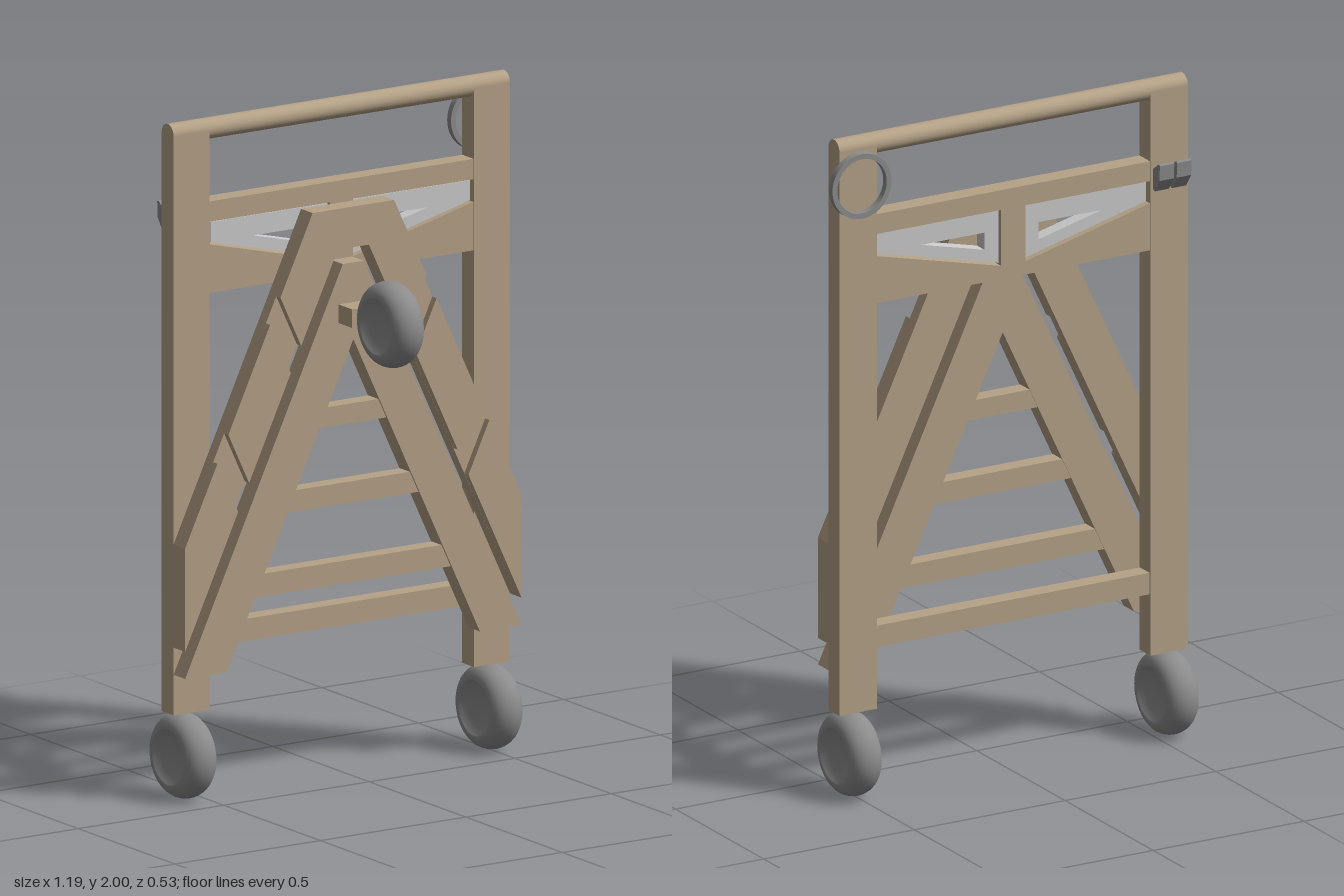
import * as THREE from 'three';

const wood = new THREE.MeshStandardMaterial({ color: 0xb5a287 });
const plain = new THREE.MeshStandardMaterial({ color: 0xcccccc });
const metal = new THREE.MeshStandardMaterial({ color: 0x8c8c8c });

const HALF = 0.578;                 // half width of the frame
const BACK = -0.172, MID = -0.11, FRONT = -0.05;
const SLOPE = 0.471;                // sideways run of the slanted legs

export function createModel() {
  const model = new THREE.Group();
  model.name = 'wheeledFrame';
  model.position.x = -0.0215;
  const root = new THREE.Group();
  root.add(model);

  const add = (name, geometry, material = wood) => {
    const mesh = new THREE.Mesh(geometry, material);
    mesh.name = name;
    model.add(mesh);
    return mesh;
  };
  const box = (name, x0, x1, y0, y1, z0, z1) =>
    add(name, new THREE.BoxGeometry(x1 - x0, y1 - y0, z1 - z0))
      .position.set((x0 + x1) / 2, (y0 + y1) / 2, (z0 + z1) / 2);
  const vecs = (pts, s = 1) => pts.map(([x, y]) => new THREE.Vector2(s * x, y));
  const plate = (name, pts, holes, z0, z1, material = wood) => {
    const shape = new THREE.Shape(vecs(pts));
    holes.forEach(h => shape.holes.push(new THREE.Path(vecs(h))));
    const g = new THREE.ExtrudeGeometry(shape, { depth: z1 - z0, bevelEnabled: false });
    g.translate(0, 0, z0);
    return add(name, g, material);
  };
  const flip = (pts, s) => pts.map(([x, y]) => [s * x, y]);
  const bothSides = pts => [...pts, ...flip(pts, -1).reverse()];

  // Upright frame: posts, rounded handle, low rail
  for (const s of [-1, 1]) {
    const a = s * HALF, b = s * (HALF - 0.124);
    box(s > 0 ? 'leftPost' : 'rightPost', Math.min(a, b), Math.max(a, b), 0.26, 1.969, BACK, MID);
  }
  const handle = add('handle', new THREE.CylinderGeometry(0.031, 0.031, 2 * HALF, 32));
  handle.rotation.z = Math.PI / 2;
  handle.position.set(0, 1.969, (BACK + MID) / 2);
  box('lowRail', -0.454, 0.454, 0.445, 0.51, BACK + 0.005, MID - 0.002);

  // Wide crossbar with two tapered openings, each holding a thin brace
  const opening = [[0.04, 1.7], [0.04, 1.53], [0.453, 1.633], [0.453, 1.7]];
  plate('crossbar', [[-0.455, 1.49], [0.455, 1.49], [0.455, 1.76], [-0.455, 1.76]],
    [opening, flip(opening, -1)], BACK + 0.002, MID - 0.001);
  const brace = [[0.043, 1.697], [0.043, 1.537], [0.446, 1.638], [0.446, 1.697]];
  const braceHole = [[0.09, 1.637], [0.3, 1.637], [0.09, 1.585]];
  for (const s of [-1, 1])
    plate('brace', flip(brace, s), [flip(braceHole, s)], BACK + 0.012, MID - 0.008, plain);

  // Outer A-frame: solid back layer, front layer split by slanted notches
  const outer = y => [0.14 + (1.695 - y) * SLOPE, y];
  const inner = y => [0.14 + (1.695 - y) * SLOPE - 0.143, y];
  const cut = 0.152;                // drop of a notch across the leg
  const floor = FRONT - 0.022;
  plate('outerAFrame', bothSides([[0.14, 1.695], outer(0.765), [HALF, 0.765], [HALF, 0.46], inner(1.575)]),
    [], MID, floor);
  plate('outerAFrameTop', bothSides([[0.14, 1.695], outer(1.46), inner(1.46 - cut), inner(1.575)]),
    [], floor, FRONT);
  for (const s of [-1, 1]) {
    plate('outerLegMiddle',
      flip([outer(1.385), outer(1.08), inner(1.08 - cut), inner(1.385 - cut)], s), [], floor, FRONT);
    plate('outerLegFoot',
      flip([outer(1.0), [HALF, 0.765], [HALF, 0.46], inner(1.0 - cut)], s), [], floor, FRONT);
  }

  // Inner A-frame with rungs
  const edge = y => HALF - (y - 0.38) * SLOPE;
  const wide = 0.143;
  const apex = 0.38 + (HALF - wide) / SLOPE;
  plate('innerAFrame', [
    [edge(1.53), 1.53], [HALF, 0.38], [HALF - wide, 0.38], [0, apex],
    [wide - HALF, 0.38], [-HALF, 0.38], [-edge(1.53), 1.53]], [], MID, FRONT);
  for (const [y0, y1] of [[0.585, 0.652], [0.82, 0.883], [1.055, 1.113]]) {
    const a = edge(y0) - wide, b = edge(y1) - wide;
    plate('rung', [[-a, y0], [a, y0], [b, y1], [-b, y1]], [], MID + 0.002, FRONT - 0.006);
  }

  // Wheels: rounded tread with dished sides
  const profile = [[0, -0.028], [0.03, -0.029], [0.06, -0.036], [0.082, -0.05]];
  for (let i = 0; i <= 12; i++) {
    const t = -Math.PI / 2 + (i / 12) * Math.PI;
    profile.push([0.083 + 0.043 * Math.cos(t), 0.053 * Math.sin(t)]);
  }
  profile.push([0.082, 0.05], [0.06, 0.036], [0.03, 0.029], [0, 0.028]);
  const wheelGeometry = new THREE.LatheGeometry(vecs(profile), 40);
  wheelGeometry.rotateZ(Math.PI / 2);
  const wheel = (name, x, y, z) => add(name, wheelGeometry, metal).position.set(x, y, z);
  wheel('leftWheel', 0.526, 0.13, -0.14);
  wheel('rightWheel', -0.526, 0.13, -0.14);
  wheel('frontWheel', 0, 1.387, 0.142);
  box('frontWheelBracket', -0.051, 0.051, 1.358, 1.413, FRONT - 0.01, 0.02);

  // Flat ring hung behind the left post
  const ringShape = new THREE.Shape().absarc(0, 0, 0.098, 0, Math.PI * 2);
  ringShape.holes.push(new THREE.Path().absarc(0, 0, 0.082, 0, Math.PI * 2));
  const ring = add('ring', new THREE.ExtrudeGeometry(ringShape,
    { depth: 0.02, bevelEnabled: false, curveSegments: 40 }), metal);
  ring.position.set(0.516, 1.863, -0.194);

  // Pair of slanted hooks behind the right post
  const hookShape = new THREE.Shape(vecs([
    [0.17, 1.735], [0.205, 1.76], [0.21, 1.755], [0.208, 1.71], [0.18, 1.67], [0.17, 1.675]]));
  for (const x of [-0.568, -0.511]) {
    const g = new THREE.ExtrudeGeometry(hookShape, { depth: 0.048, bevelEnabled: false });
    g.rotateY(Math.PI / 2);         // profile depth now runs along -z
    add('hook', g, metal).position.x = x;
  }
  return root;
}
